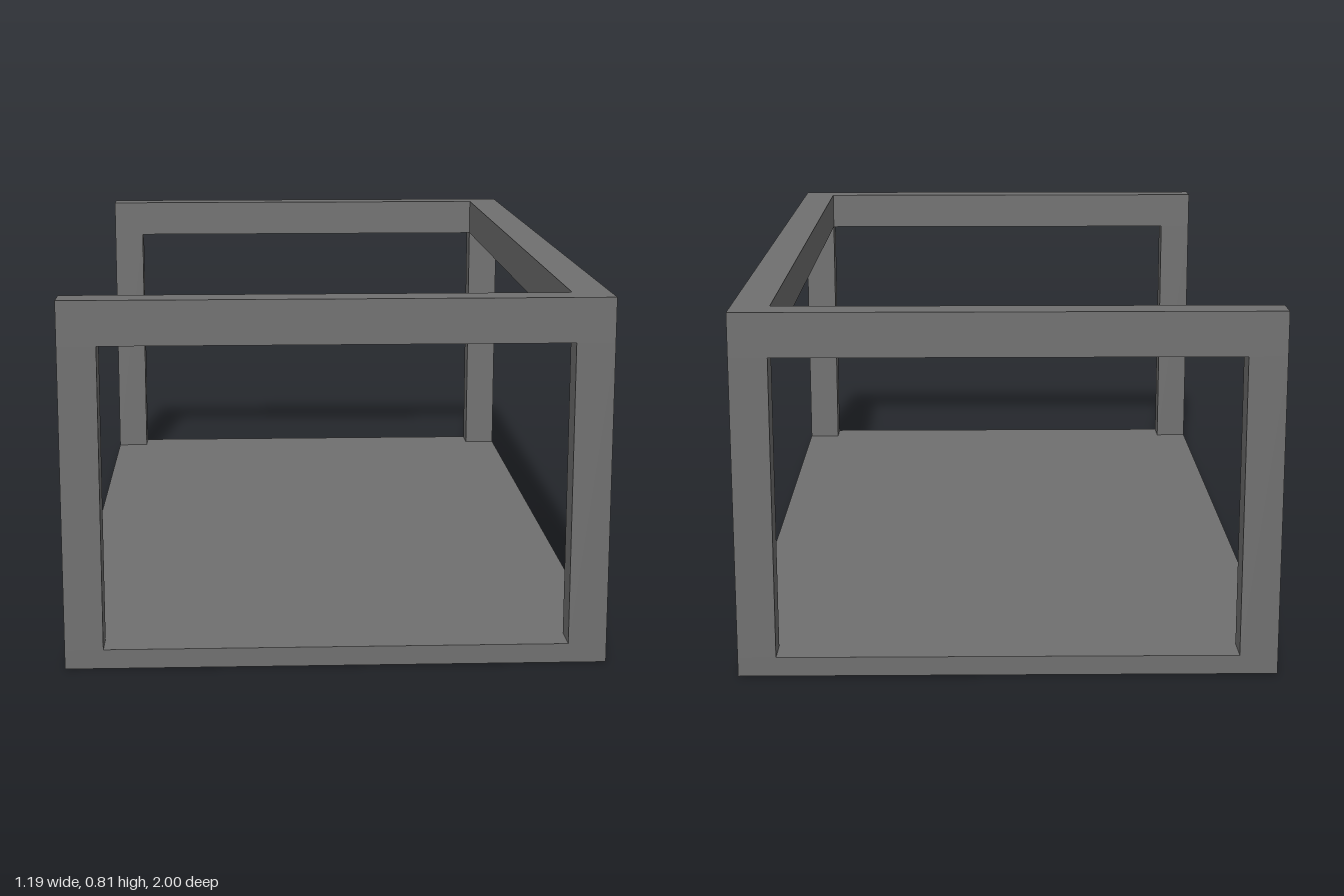
import * as THREE from 'three';

// Overall size and member sections
const W = 1.186, L = 2, H = 0.812;
const BASE = 0.043, RAIL = 0.098;
const PX = 0.084, PZ = 0.072;

export function createModel() {
  const model = new THREE.Group();
  const material = new THREE.MeshStandardMaterial({ color: 0x707070, flatShading: true });
  const add = (name, geometry, x, y, z) => {
    const mesh = new THREE.Mesh(geometry, material);
    mesh.name = name;
    mesh.position.set(x, y, z);
    model.add(mesh);
  };

  // Floor slab
  add('base', new THREE.BoxGeometry(W, BASE, L), 0, BASE / 2, 0);

  // Four corner posts
  const postHeight = H - RAIL - BASE;
  for (const sx of [-1, 1]) {
    for (const sz of [-1, 1]) {
      const name = (sz > 0 ? 'front' : 'back') + (sx > 0 ? 'Left' : 'Right') + 'Post';
      add(name, new THREE.BoxGeometry(PX, postHeight, PZ),
        sx * (W - PX) / 2, BASE + postHeight / 2, sz * (L - PZ) / 2);
    }
  }

  // U-shaped top rail, open on the -x side
  const x = W / 2, z = L / 2;
  const plan = new THREE.Shape([
    [-x, -z], [x, -z], [x, z], [-x, z],
    [-x, z - PZ], [x - PX, z - PZ], [x - PX, -z + PZ], [-x, -z + PZ],
  ].map(([a, b]) => new THREE.Vector2(a, b)));
  const rail = new THREE.ExtrudeGeometry(plan, { depth: RAIL, bevelEnabled: false });
  rail.rotateX(-Math.PI / 2);
  add('topRail', rail, 0, H - RAIL, 0);

  return model;
}
